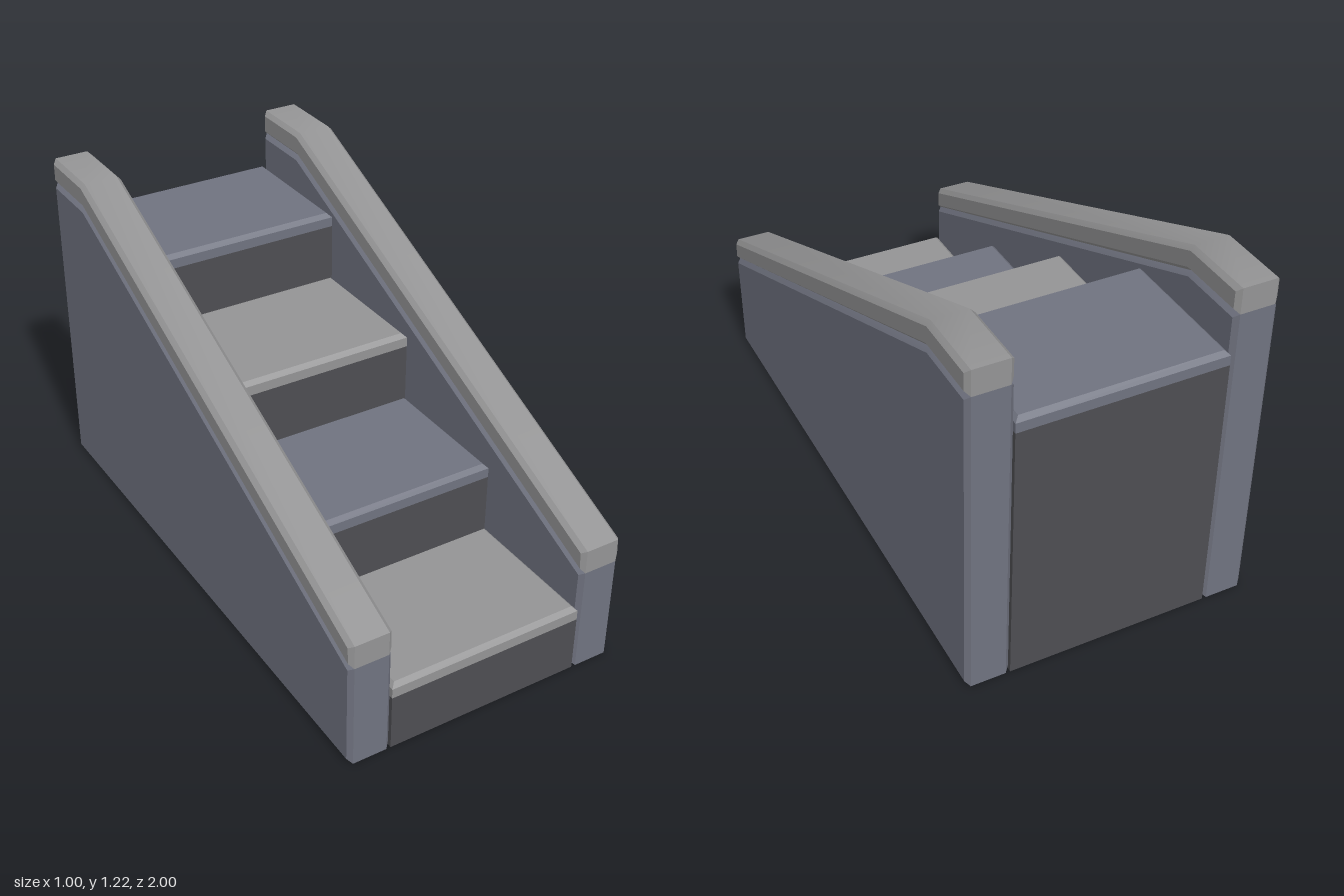
import * as THREE from 'three';
import { toCreasedNormals } from 'three/addons/utils/BufferGeometryUtils.js';

const CHAMFER = 0.015, INNER = 0.35, WALL = 0.15;

function material(name, color) {
  const m = new THREE.MeshStandardMaterial({ color });
  m.name = name;
  return m;
}

// Extrudes a (z, y) outline along x, with optional chamfered edges kept inside the outline.
function sideProfile(points, x0, width, chamfer) {
  const shape = new THREE.Shape(points.map(([z, y]) => new THREE.Vector2(-z, y)));
  const geo = new THREE.ExtrudeGeometry(shape, {
    depth: width - 2 * chamfer,
    bevelEnabled: chamfer > 0,
    bevelThickness: chamfer,
    bevelSize: chamfer,
    bevelOffset: -chamfer,
    bevelSegments: 1,
  });
  geo.rotateY(Math.PI / 2);
  geo.translate(x0 + chamfer, 0, 0);
  return toCreasedNormals(geo, Math.PI / 6);
}

// Slab whose top edges are chamfered on all four sides.
function treadGeometry(width, height, depth) {
  const box = new THREE.BoxGeometry(width, height, depth, 1, 2, 1);
  const p = box.attributes.position;
  for (let i = 0; i < p.count; i++) {
    const y = p.getY(i);
    if (Math.abs(y) < 1e-5) p.setY(i, height / 2 - CHAMFER);
    else if (y > 0) {
      p.setX(i, p.getX(i) - Math.sign(p.getX(i)) * CHAMFER);
      p.setZ(i, p.getZ(i) - Math.sign(p.getZ(i)) * CHAMFER);
    }
  }
  const geo = box.toNonIndexed();
  geo.computeVertexNormals();
  return geo;
}

export function createModel() {
  const group = new THREE.Group();
  group.name = 'staircase';
  const blueGrey = material('blue grey stone', 0x707380);
  const lightGrey = material('light grey stone', 0x949495);
  const darkGrey = material('dark grey stone', 0x4e4e52);

  const add = (name, geo, mat) => {
    const mesh = new THREE.Mesh(geo, mat);
    mesh.name = name;
    group.add(mesh);
    return mesh;
  };

  // Stepped core forming the risers, the back and the underside
  const steps = 4, rise = 0.25, run = 0.5, thick = 0.05;
  const outline = [[-1, 0], [1, 0]];
  for (let i = 0; i < steps; i++) {
    const y = (i + 1) * rise - thick;
    outline.push([1 - i * run, y], [1 - (i + 1) * run, y]);
  }
  add('stepCore', sideProfile(outline, -INNER, 2 * INNER, 0), darkGrey);

  // Treads in alternating colours
  const tread = treadGeometry(2 * INNER, thick, run);
  for (let i = 0; i < steps; i++) {
    const mesh = add('tread' + (i + 1), tread, i % 2 ? blueGrey : lightGrey);
    mesh.position.set(0, (i + 1) * rise - thick / 2, 1 - (i + 0.5) * run);
  }

  // Side walls, each capped by a rail that follows the slope
  const wall = [[1, 0], [1, 0.38], [-0.75, 1.125], [-1, 1.125], [-1, 0]];
  const rail = [[1, 0.38], [1, 0.465], [-0.75, 1.215], [-1, 1.215], [-1, 1.125], [-0.75, 1.125]];
  for (const [side, x0] of [['left', INNER], ['right', -INNER - WALL]]) {
    add(side + 'Wall', sideProfile(wall, x0, WALL, CHAMFER), blueGrey);
    add(side + 'Rail', sideProfile(rail, x0, WALL, CHAMFER), lightGrey);
  }
  return group;
}
